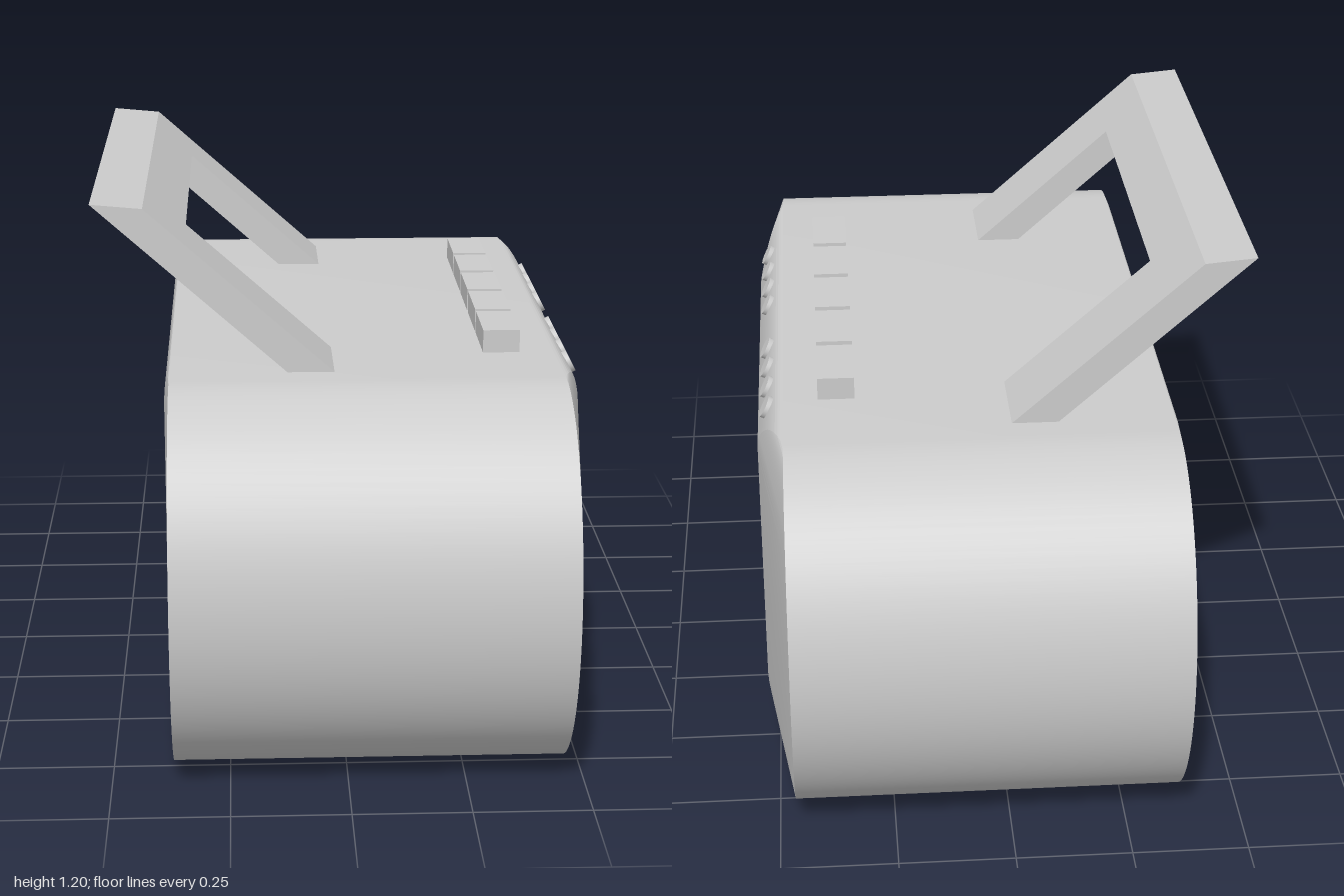
import * as THREE from 'three';
import { toCreasedNormals } from 'three/addons/utils/BufferGeometryUtils.js';

const HALF_H = 0.4175, END_Z = 0.66, END_R = 0.34; // body height/2, centre and z radius of the rounded ends
const FACE_Z = 0.43;                               // half width of the raised front and back panels
const FRONT_X = 0.465, BACK_X = -0.37;
const STEPS = 48;

const material = new THREE.MeshStandardMaterial({ color: 0xcccccc });

function add(parent, name, geometry, x = 0, y = 0, z = 0) {
  const mesh = new THREE.Mesh(geometry, material);
  mesh.name = name;
  mesh.position.set(x, y, z);
  parent.add(mesh);
  return mesh;
}

// Surface through rows of points, skipping collapsed triangles
function loft(rows, crease) {
  const pos = [];
  const tri = (a, b, c) => {
    if (new THREE.Triangle(a, b, c).getArea() > 1e-9) for (const p of [a, b, c]) pos.push(p.x, p.y, p.z);
  };
  for (let i = 0; i < rows.length - 1; i++) {
    for (let j = 0; j < rows[i].length - 1; j++) {
      const a = rows[i][j], b = rows[i][j + 1], c = rows[i + 1][j + 1], d = rows[i + 1][j];
      tri(a, b, c);
      tri(a, c, d);
    }
  }
  const geometry = new THREE.BufferGeometry();
  geometry.setAttribute('position', new THREE.Float32BufferAttribute(pos, 3));
  return toCreasedNormals(geometry, crease);
}

// Rounded tube of the body, running front to back
function shellGeometry() {
  const ring = (x) => {
    const points = [];
    for (const side of [1, -1]) {
      for (let i = 0; i <= STEPS; i++) {
        const a = -Math.PI / 2 + (i / STEPS) * Math.PI;
        points.push(new THREE.Vector3(x, HALF_H + side * HALF_H * Math.sin(a), side * (END_Z + END_R * Math.cos(a))));
      }
    }
    points.push(points[0].clone());
    return points;
  };
  return loft([ring(FRONT_X), ring(BACK_X)], 0.5);
}

// Bulged panel: sloping round ends that meet a bevelled flat face
function panelGeometry(rimX, bulge) {
  const side = Math.sign(bulge), rows = [];
  for (let i = 0; i <= STEPS; i++) {
    const a = (i / STEPS) * Math.PI;
    const y = HALF_H * (1 - Math.cos(a));
    const outer = END_Z + END_R * Math.sin(a);
    const inner = Math.max(FACE_Z, END_Z - END_R * Math.sin(a));
    const x = rimX + (bulge * (END_Z - inner)) / (END_Z - FACE_Z);
    rows.push([[rimX, outer], [x, inner], [x, -inner], [rimX, -outer]]
      .map(([px, pz]) => new THREE.Vector3(px, y, side * pz)));
  }
  return loft(rows, 0.15);
}

// U-shaped handle, sheared so that it leans backwards
function handleGeometry() {
  const outline = [[-0.6, -0.03], [-0.4, -0.03], [-0.4, 0.785], [0.4, 0.785], [0.4, -0.03], [0.6, -0.03], [0.6, 1], [-0.6, 1]];
  const shape = new THREE.Shape(outline.map(([u, v]) => new THREE.Vector2(u, v)));
  const geometry = new THREE.ExtrudeGeometry(shape, { depth: 1, bevelEnabled: false });
  const p = geometry.attributes.position;
  for (let i = 0; i < p.count; i++) {
    const u = p.getX(i), v = p.getY(i), w = p.getZ(i);
    p.setXYZ(i, -0.02 - 0.4 * v - w * (0.1 + 0.01 * v), 0.835 + 0.355 * v + 0.01 * w * v, u);
  }
  geometry.computeVertexNormals();
  return geometry;
}

export function createModel() {
  const model = new THREE.Group();
  model.name = 'portableRadio';

  const body = new THREE.Group();
  body.name = 'body';
  model.add(body);
  add(body, 'shell', shellGeometry());
  add(body, 'frontPanel', panelGeometry(FRONT_X, 0.06));
  add(body, 'backPanel', panelGeometry(BACK_X, -0.018));

  add(model, 'handle', handleGeometry());

  // Row of keys on top
  const keys = new THREE.Group();
  keys.name = 'keys';
  model.add(keys);
  for (let i = -2; i <= 2; i++) {
    add(keys, 'key', new THREE.BoxGeometry(0.08, 0.06, 0.168), 0.35, 0.855, i * 0.187);
  }

  // Two sets of small round knobs on the upper bevel
  const knobs = new THREE.Group();
  knobs.name = 'knobs';
  model.add(knobs);
  const knobGeometry = new THREE.CylinderGeometry(0.025, 0.025, 0.022, 24);
  for (const side of [1, -1]) {
    for (let i = 0; i < 4; i++) {
      add(knobs, 'knob', knobGeometry, 0.498, 0.8, side * (0.12 + i * 0.1)).rotation.z = -1.1;
    }
  }
  return model;
}
